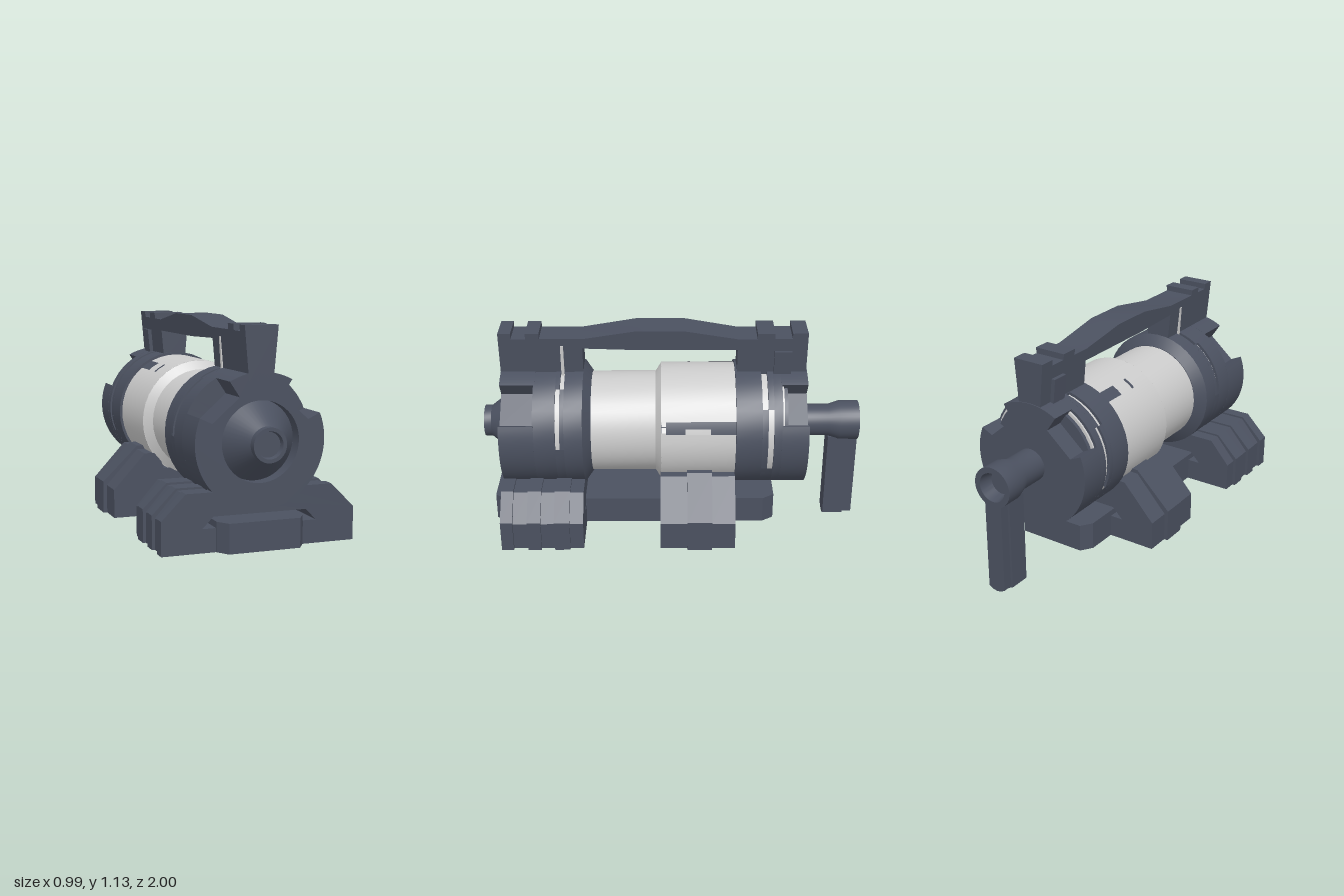
import * as THREE from 'three';
import { toCreasedNormals } from 'three/addons/utils/BufferGeometryUtils.js';

const AXIS = 0.577, R = 0.327, RAD = Math.PI / 180;
const dark = new THREE.MeshStandardMaterial({ color: 0x4b5160, side: THREE.DoubleSide });
const grey = new THREE.MeshStandardMaterial({ color: 0xcccccc, side: THREE.DoubleSide });

export function createModel() {
  const model = new THREE.Group();

  function add(name, geo, mat = dark) {
    const mesh = new THREE.Mesh(toCreasedNormals(geo, 0.5), mat);
    mesh.name = name;
    model.add(mesh);
    return mesh;
  }
  function box(name, x0, x1, y0, y1, z0, z1, mat) {
    const g = new THREE.BoxGeometry(x1 - x0, y1 - y0, z1 - z0);
    return add(name, g.translate((x0 + x1) / 2, (y0 + y1) / 2, (z0 + z1) / 2), mat);
  }
  // profile of [radius, z] turned about the drum axis; angles run from the bottom through +x
  function turn(name, profile, mat, from = 0, to = 360) {
    const pts = profile.map(([r, z]) => new THREE.Vector2(r, z));
    const segs = Math.max(2, Math.ceil((to - from) / 9));
    const g = new THREE.LatheGeometry(pts, segs, from * RAD, (to - from) * RAD);
    return add(name, g.rotateX(Math.PI / 2).translate(0, AXIS, 0), mat);
  }
  const band = (r0, r1, z0, z1) => [[r0, z0], [r1, z0], [r1, z1], [r0, z1], [r0, z0]];
  function prism(name, points, z0, z1, mat) {
    const shape = new THREE.Shape(points.map(p => new THREE.Vector2(...p)));
    const g = new THREE.ExtrudeGeometry(shape, { depth: z1 - z0, bevelEnabled: false });
    return add(name, g.translate(0, 0, z0), mat);
  }

  // Stepped drum; the wide half has a long slot on the left flank
  turn('drumCore', [[0, -0.6], [0.296, -0.6], [0.296, 0.03], [0, 0.03]]);
  turn('narrowDrum', [[0.267, 0.43], [0.267, 0.085], [0.313, 0.055], [0.29, 0.055]].reverse(), grey);
  turn('wideDrum', band(0.29, 0.313, -0.34, 0.056), grey, 116, 464);
  turn('slotTab', band(0.29, 0.312, -0.2, -0.07), grey, 104, 109);
  for (const [z0, z1, a0, a1] of [[-0.325, -0.2, 207, 219], [-0.1, -0.085, 207, 219]])
    turn('drumSlot', band(0.31, 0.315, z0, z1), dark, a0, a1);

  // End caps: inner grey sleeve seen through stepped slits
  turn('frontSleeve', band(0.25, 0.312, 0.5, 0.65), grey);
  turn('rearSleeve', band(0.25, 0.312, -0.58, -0.4), grey);
  turn('frontCapCollar', [[0.2, 0.42], [0.27, 0.42], [R, 0.46], [R, 0.555], [0.3, 0.555]]);
  turn('frontCapBody', band(0.2, R, 0.6, 0.715));
  turn('rearCapCollar', band(0.2, R, -0.465, -0.33));
  turn('rearCapBody', band(0.2, R, -0.57, -0.525));

  function slit(name, low, high, z0, zm, z1, farZone) {
    turn(name, band(0.3, R, z0, z1), dark, -low, low);
    turn(name, band(0.3, R, z0, z1), dark, 168, 192);
    for (const s of [1, -1]) {
      const arc = (a, b) => (s > 0 ? [a, b] : [360 - b, 360 - a]);
      const lowFill = farZone ? [z0, zm] : [zm, z1];
      const highFill = farZone ? [zm, z1] : [z0, zm];
      turn(name, band(0.3, R, ...lowFill), dark, ...arc(low, high));
      turn(name, band(0.3, R, ...highFill), dark, ...arc(high, 168));
    }
  }
  slit('frontCapSlit', 90, 147, 0.555, 0.577, 0.6, true);
  slit('rearCapSlit', 67, 127, -0.525, -0.495, -0.465, false);

  // Outer cap sections with a notch on each shoulder
  function notched(name, z0, z1, hole) {
    const s = new THREE.Shape();
    s.absarc(0, 0, R, 61.4 * RAD, 118.6 * RAD, false);
    s.lineTo(-0.107, 0.213);
    s.lineTo(-0.242, 0.096);
    s.absarc(0, 0, R, 157.7 * RAD, 382.3 * RAD, false);
    s.lineTo(0.242, 0.096);
    s.lineTo(0.107, 0.213);
    s.closePath();
    if (hole) s.holes.push(new THREE.Path().absarc(0, 0, hole, 0, Math.PI * 2, true));
    const g = new THREE.ExtrudeGeometry(s, { depth: z1 - z0, bevelEnabled: false, curveSegments: 24 });
    add(name, g.translate(0, AXIS, z0));
  }
  notched('frontCapRim', 0.71, 0.89, 0.195);
  notched('rearCapRim', -0.705, -0.565, 0);

  // Conical nose with a recessed tip
  turn('nose', [[0.2, 0.82], [0.195, 0.82], [0.083, 0.963], [0.083, 1], [0.065, 1], [0.06, 0.975], [0, 0.975]]);

  // Carry handle: side profile (z, y), widening upward
  const profile = [
    [0.89, 0.86], [0.89, 1.12], [0.825, 1.12], [0.825, 1.09], [0.75, 1.09], [0.75, 1.12], [0.68, 1.12],
    [0.68, 1.09], [0.46, 1.09], [0.18, 1.135], [-0.06, 1.135], [-0.34, 1.088], [-0.44, 1.088],
    [-0.44, 1.12], [-0.53, 1.12], [-0.53, 1.09], [-0.62, 1.09], [-0.62, 1.12], [-0.7, 1.12],
    [-0.7, 0.86], [-0.34, 0.86], [-0.34, 1.025], [0.16, 1.025], [0.46, 1.035], [0.46, 0.86]];
  const side = new THREE.Shape(profile.map(([z, y]) => new THREE.Vector2(-z, y)));
  const handle = new THREE.ExtrudeGeometry(side, { depth: 2, bevelEnabled: false });
  handle.translate(0, 0, -1).rotateY(Math.PI / 2);
  const p = handle.attributes.position;
  for (let i = 0; i < p.count; i++) p.setX(i, p.getX(i) * (0.065 + (p.getY(i) - 0.9) * 0.09));
  add('handle', handle);
  const lug = [[-0.083, 0.88], [0.083, 0.88], [0.097, 1.02], [-0.097, 1.02]];
  prism('handleLug', lug, -0.62, -0.53);
  prism('handleSlit', [[-0.071, 0.86], [0.071, 0.86], [0.082, 1.05], [-0.082, 1.05]], 0.558, 0.574, grey);

  // Base plate with clipped corners
  const plate = new THREE.Shape([
    [-0.22, 0.49], [-0.22, -0.89], [-0.18, -0.95], [0.18, -0.95], [0.22, -0.89],
    [0.22, 0.49], [0.18, 0.55], [-0.18, 0.55]].map(q => new THREE.Vector2(...q)));
  const plateGeo = new THREE.ExtrudeGeometry(plate, { depth: 0.145, bevelEnabled: false });
  add('basePlate', plateGeo.rotateX(-Math.PI / 2).translate(0, 0.07, 0));

  // Ribbed splayed feet joined under the drum
  function foot(name, w, top, z0, z1) {
    const half = [
      [0.235, 0.24], [0.29, 0.185], [0.222, 0.185], [0.222, 0.07], [w, 0.07], [w, w - 0.255],
      [w - 0.255 + 0.725 - top - (w - 0.255) - (0.49 - w), top], [0.23, top], [0.2, 0.32]];
    const mirrored = half.map(([x, y]) => [-x, y]).reverse();
    prism(name, [...half, ...mirrored], z0, z1);
  }
  const ribs = [0.46, 0.53, 0.61, 0.68, 0.75, 0.825, 0.888];
  for (let i = 0; i < 6; i++) {
    const wide = i % 2;
    foot('frontFoot', wide ? 0.49 : 0.475, wide ? 0.355 : 0.345, ribs[i], ribs[i + 1]);
  }
  foot('rearFoot', 0.475, 0.405, -0.33, -0.21);
  foot('rearFootRib', 0.495, 0.425, -0.21, -0.08);
  foot('rearFoot', 0.475, 0.405, -0.08, 0.06);

  // Crank: axle with flared hollow hub, and a hanging arm
  turn('crankHub', [[0, -0.93], [0.062, -0.93], [0.075, -1], [0.105, -1], [0.105, -0.9], [0.085, -0.84], [0.085, -0.69]]);
  const armShape = (w, y0) => [[-w, 0.5], [-w, y0 + 0.018], [-w * 0.5, y0 + 0.004], [0, y0],
    [w * 0.5, y0 + 0.004], [w, y0 + 0.018], [w, 0.5]];
  prism('crankArm', armShape(0.059, 0), -0.95, -0.842);
  prism('crankArmFace', armShape(0.048, 0.003), -1, -0.95);

  return model;
}
